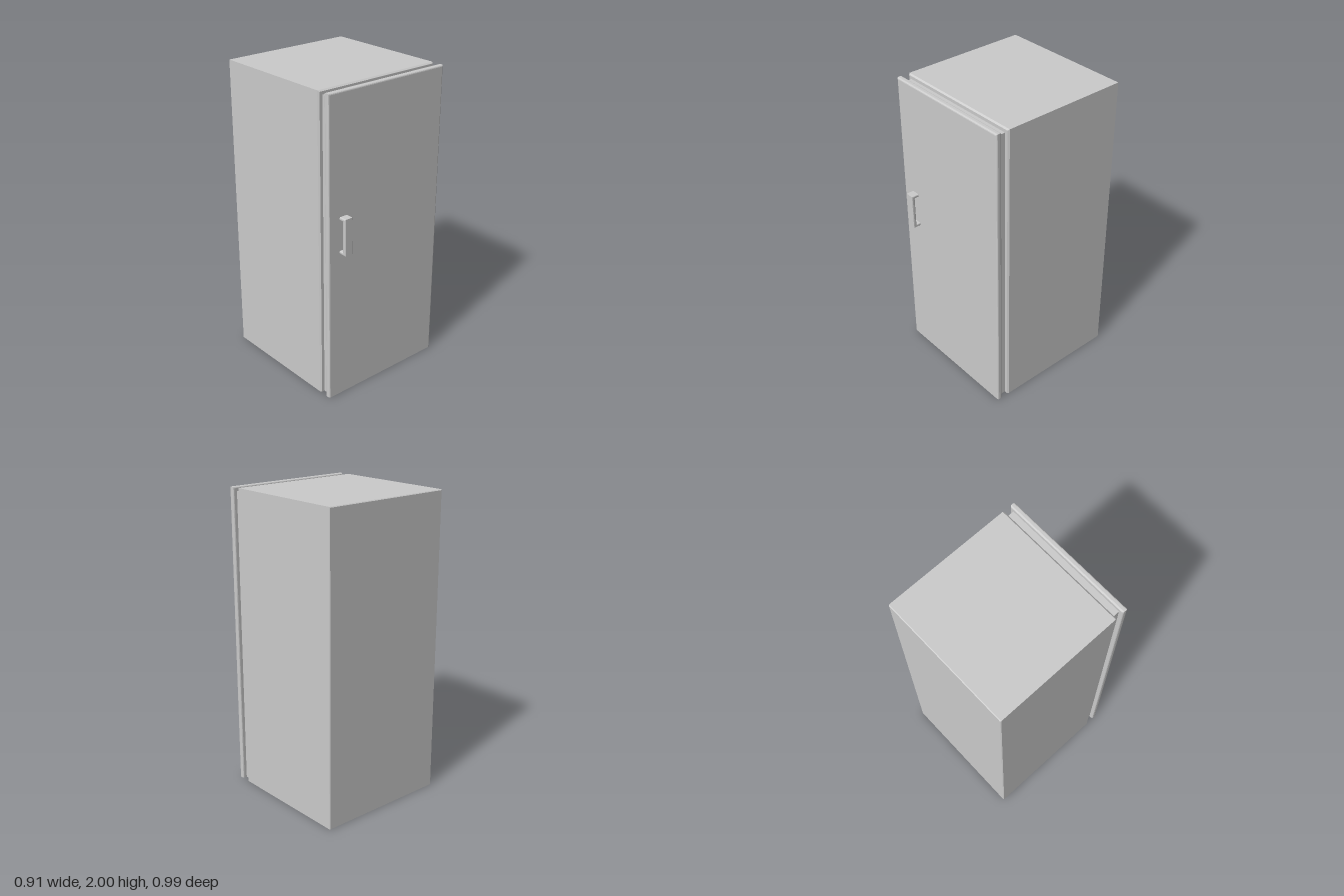
import * as THREE from 'three';

const W = 0.453, H = 2;
const material = new THREE.MeshStandardMaterial({ color: 0xcccccc, side: THREE.DoubleSide, flatShading: true });

// Sweeps a rectangle standing on y = 0 through [inset, z] stations; the floor is optional.
function shell(name, stations, { floor = false, back = false, front = false }) {
  const loops = stations.map(([d, z]) => [
    [W - d, 0, z], [W - d, H - d, z], [d - W, H - d, z], [d - W, 0, z],
  ]);
  const pos = [];
  const quad = (a, b, c, d) => pos.push(...a, ...b, ...c, ...a, ...c, ...d);
  for (let s = 0; s < loops.length - 1; s++) {
    const p = loops[s], q = loops[s + 1];
    for (let i = 0; i < (floor ? 4 : 3); i++) {
      const j = (i + 1) % 4;
      quad(p[i], p[j], q[j], q[i]);
    }
  }
  if (back) quad(...[...loops[0]].reverse());
  if (front) quad(...loops[loops.length - 1]);
  const geometry = new THREE.BufferGeometry();
  geometry.setAttribute('position', new THREE.Float32BufferAttribute(pos, 3));
  geometry.computeVertexNormals();
  const mesh = new THREE.Mesh(geometry, material);
  mesh.name = name;
  return mesh;
}

// U-shaped pull, drawn in (z, y) and extruded across x
function makeHandle() {
  const bevel = 0.006;
  const shape = new THREE.Shape([
    [0.44, 1.0], [0.497, 1.0], [0.497, 1.24], [0.44, 1.24],
    [0.44, 1.22], [0.474, 1.22], [0.474, 1.02], [0.44, 1.02],
  ].map(([z, y]) => new THREE.Vector2(z, y)));
  const geometry = new THREE.ExtrudeGeometry(shape, {
    depth: 0.06 - 2 * bevel, bevelThickness: bevel, bevelSize: bevel, bevelOffset: -bevel, bevelSegments: 2,
  });
  geometry.rotateY(-Math.PI / 2);
  geometry.translate(-0.31 - bevel, 0, 0);
  const mesh = new THREE.Mesh(geometry, material);
  mesh.name = 'handle';
  return mesh;
}

export function createModel() {
  const group = new THREE.Group();
  group.name = 'refrigerator';

  // Cabinet: thin shell open below, with an inward flange at the front
  group.add(shell('cabinet', [
    [0.005, -0.497], [0, -0.492], [0, 0.353], [0.008, 0.363], [0.028, 0.363],
  ], { back: true }));

  // Recessed seal between cabinet and door
  group.add(shell('doorSeal', [[0.028, 0.363], [0.028, 0.411]], {}));

  // Door slab with rounded edges
  const r = 0.01, z0 = 0.41, z1 = 0.446, rim = [];
  for (let i = 0; i <= 3; i++) {
    const a = (i / 3) * Math.PI / 2;
    rim.push([r * (1 - Math.sin(a)), r * (1 - Math.cos(a))]);
  }
  group.add(shell('door', [
    ...rim.map(([d, t]) => [d, z0 + t]),
    ...rim.map(([d, t]) => [d, z1 - t]).reverse(),
  ], { floor: true, back: true, front: true }));

  group.add(makeHandle());
  return group;
}
